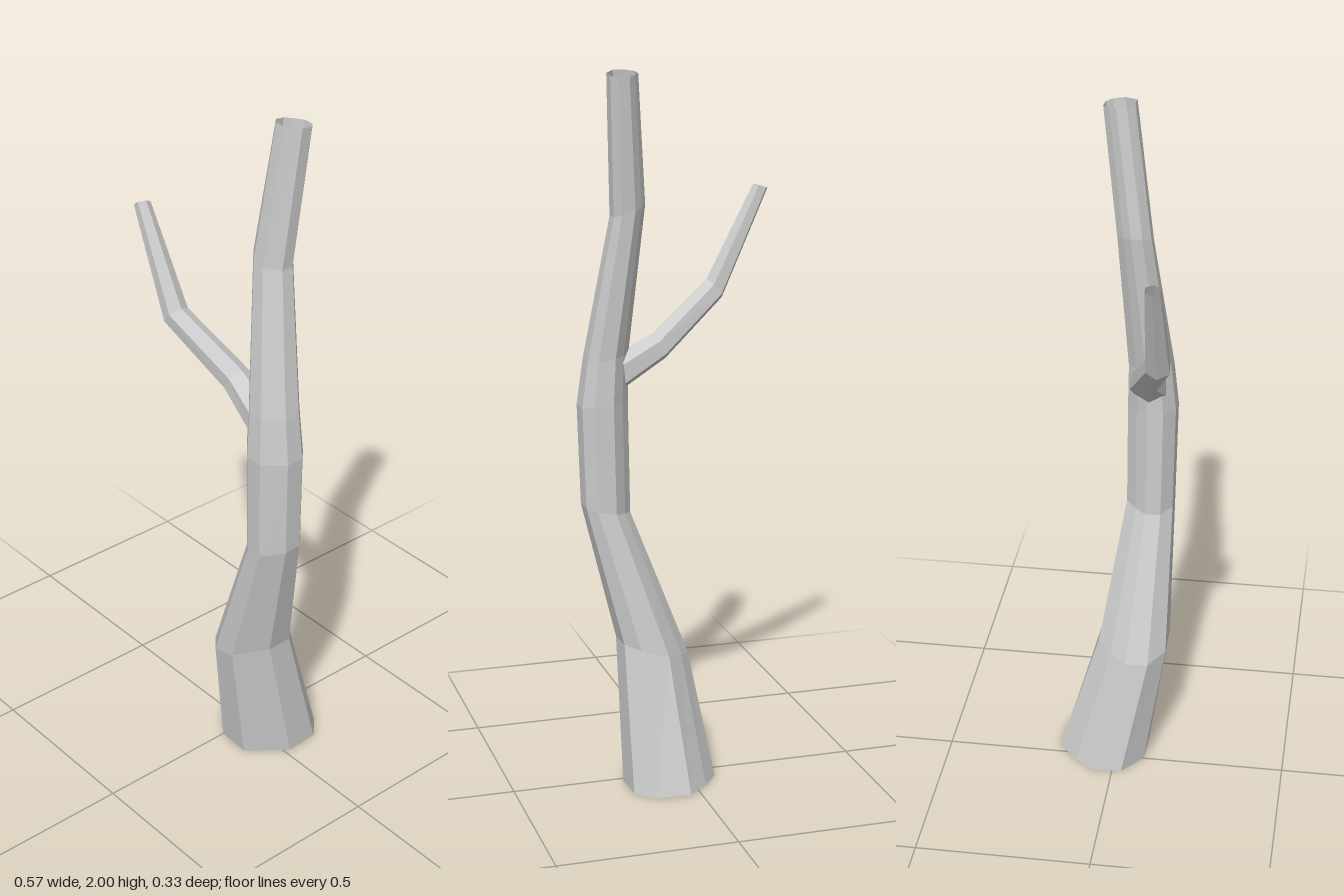
import * as THREE from 'three';

const bark = new THREE.MeshStandardMaterial({ color: 0xcccccc, flatShading: true, side: THREE.DoubleSide });

// Open faceted limb lofted through rings.
// Ring: [x, y, z, radius, ux, uy, slopeZ]; (ux, uy) is the ring's sideways axis.
function limb(name, outline, rings) {
  const n = outline.length;
  const positions = [];
  const index = [];
  for (const [x, y, z, r, ux, uy, slopeZ = 0] of rings) {
    for (const [a, b] of outline) {
      positions.push(x + r * a * ux, y + r * (a * uy + b * slopeZ), z + r * b);
    }
  }
  for (let i = 0; i < rings.length - 1; i++) {
    for (let j = 0; j < n; j++) {
      const a = i * n + j;
      const b = i * n + (j + 1) % n;
      index.push(a, a + n, b, b, a + n, b + n);
    }
  }
  const indexed = new THREE.BufferGeometry();
  indexed.setAttribute('position', new THREE.Float32BufferAttribute(positions, 3));
  indexed.setIndex(index);
  const geometry = indexed.toNonIndexed();
  geometry.computeVertexNormals();
  const mesh = new THREE.Mesh(geometry, bark);
  mesh.name = name;
  return mesh;
}

export function createModel() {
  const tree = new THREE.Group();
  tree.name = 'bareTree';

  // Slightly uneven trunk section, as (x, z)
  const trunkOutline = [
    [0.98, 0.15], [0.34, 0.95], [-0.41, 0.92], [-0.95, 0.48], [-0.98, -0.14],
    [-0.65, -0.59], [-0.19, -1.0], [0.56, -0.96], [0.94, -0.59],
  ];
  // Bent, tapering trunk, open at both ends
  tree.add(limb('trunk', trunkOutline, [
    [0.055, 0, -0.037, 0.133, 1, 0],
    [0.08, 0.38, 0.047, 0.104, 1, 0.28],
    [0.205, 0.785, 0.077, 0.07, 1, 0.22],
    [0.211, 1.09, 0.08, 0.072, 1, -0.08],
    [0.202, 1.22, 0.075, 0.064, 1, -0.12],
    [0.148, 1.625, 0.034, 0.049, 1, -0.3],
    [0.172, 1.993, -0.011, 0.045, 0.95, 0, 0.15],
  ]));

  // Hexagonal side branch with an upturned end
  const hexagon = Array.from({ length: 6 }, (_, i) => {
    const t = (i / 6) * Math.PI * 2;
    return [Math.cos(t), Math.sin(t)];
  });
  tree.add(limb('branch', hexagon, [
    [0.16, 1.175, 0.075, 0.053, 0.1, 0.99],
    [0.05, 1.24, 0.07, 0.042, 0.45, 0.85],
    [-0.13, 1.383, 0.131, 0.037, 0.6, 0.75],
    [-0.264, 1.664, 0.132, 0.023, 0.93, 0.25],
  ]));

  return tree;
}
